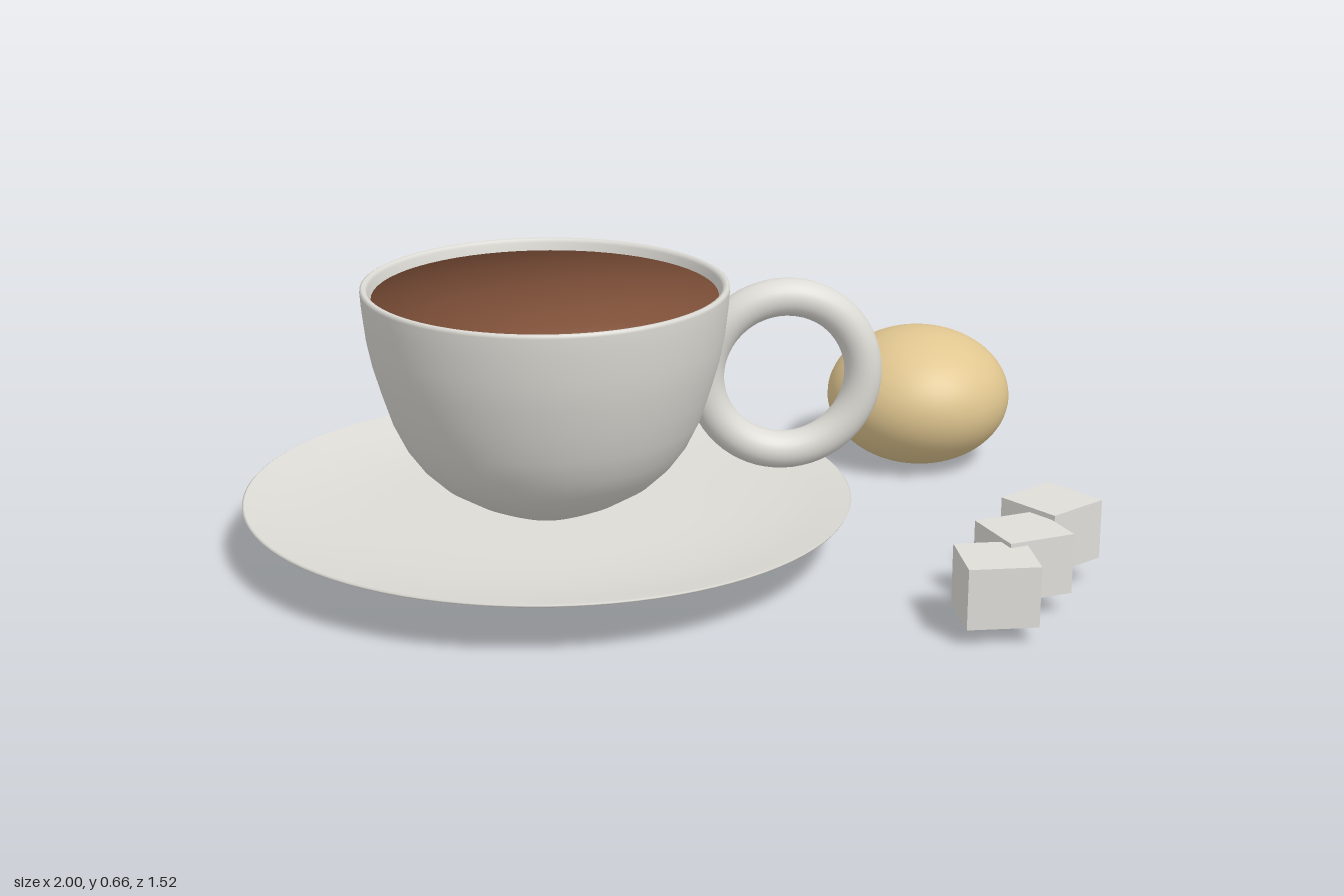
import * as THREE from 'three';

const CENTER_X = -0.267, CENTER_Z = 0.015;

const porcelain = new THREE.MeshStandardMaterial({ color: 0xdddbd5 });
porcelain.name = 'porcelain';
const sugar = new THREE.MeshStandardMaterial({ color: 0xdfddd8 });
sugar.name = 'sugar';
const coffee = new THREE.MeshStandardMaterial({ color: 0x7d4f38 });
coffee.name = 'coffee';
const pastry = new THREE.MeshStandardMaterial({ color: 0xe0c690 });
pastry.name = 'pastry';

function addMesh(group, name, geometry, material, x, y, z) {
  const mesh = new THREE.Mesh(geometry, material);
  mesh.name = name;
  mesh.position.set(x, y, z);
  group.add(mesh);
  return mesh;
}

// Profile of [radius, height] pairs, from the bottom centre outward, over the rim and back in
function turned(profile) {
  return new THREE.LatheGeometry(profile.map(([r, y]) => new THREE.Vector2(r, y)), 96);
}

// Liquid surface: a shallow dished cap that keeps the rounded normals of a sphere
function liquidSurface(radius, sag) {
  const angle = 0.9;
  const geometry = new THREE.SphereGeometry(radius / Math.sin(angle), 64, 16, 0, Math.PI * 2, 0, angle);
  const p = geometry.attributes.position;
  for (let i = 0; i < p.count; i++) {
    const t = Math.hypot(p.getX(i), p.getZ(i)) / radius;
    p.setY(i, -sag * (1 - t * t));
  }
  return geometry;
}

export function createModel() {
  const group = new THREE.Group();
  group.name = 'coffeeSet';

  // Saucer
  addMesh(group, 'saucer', turned([
    [0, 0.035], [0.36, 0.035], [0.42, 0.038], [0.48, 0.047], [0.6, 0.085], [0.7, 0.121],
    [0.731, 0.133], [0.733, 0.137], [0.728, 0.14],
    [0.66, 0.124], [0.56, 0.109], [0.45, 0.101], [0.36, 0.1], [0, 0.1],
  ]), porcelain, CENTER_X, 0, CENTER_Z);

  // Cup with its inner wall
  addMesh(group, 'cup', turned([
    [0, 0.097], [0.1, 0.099], [0.145, 0.118], [0.19, 0.139], [0.26, 0.182], [0.305, 0.225],
    [0.34, 0.273], [0.37, 0.335], [0.393, 0.406], [0.413, 0.475], [0.426, 0.54],
    [0.434, 0.61], [0.437, 0.65], [0.436, 0.657], [0.431, 0.66], [0.423, 0.658],
    [0.419, 0.65], [0.409, 0.6], [0.4, 0.52], [0.37, 0.4], [0.31, 0.27], [0.2, 0.17], [0, 0.14],
  ]), porcelain, CENTER_X, 0, CENTER_Z);

  // Ring handle
  addMesh(group, 'handle', new THREE.TorusGeometry(0.192, 0.0455, 24, 64), porcelain, 0.307, 0.418, 0.018);

  // Coffee
  addMesh(group, 'coffee', liquidSurface(0.411, 0.03), coffee, CENTER_X, 0.632, CENTER_Z);

  // Round pastry
  addMesh(group, 'pastry', new THREE.SphereGeometry(0.238, 48, 32), pastry, 0.75, 0.181, -0.523)
    .scale.set(1, 0.75, 1);

  // Sugar cubes: x, y, z and turn
  const cubes = [
    [0.688, 0.113, 0.673, 0],
    [0.783, 0.123, 0.531, 0.29],
    [0.883, 0.135, 0.384, 0.6],
  ];
  cubes.forEach(([x, y, z, turn], i) => {
    addMesh(group, `sugarCube${i + 1}`, new THREE.BoxGeometry(0.164, 0.143, 0.164), sugar, x, y, z)
      .rotation.y = turn;
  });

  return group;
}
